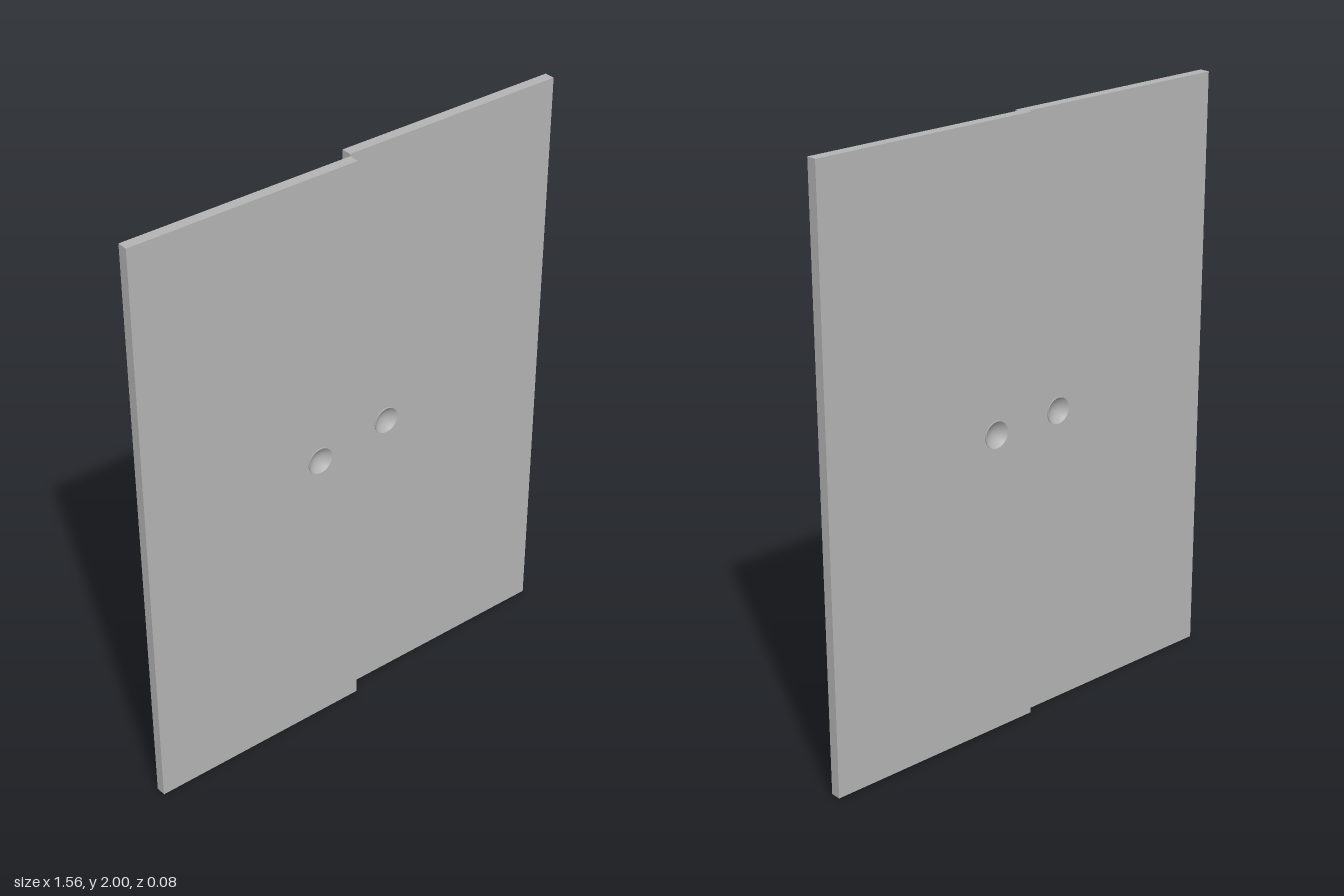
import * as THREE from 'three';

const T = 0.035; // panel thickness

// Door leaf with a round through-hole for its finger pulls
function makePanel(x0, x1, y0, y1, hx, hy, r, material) {
  const shape = new THREE.Shape();
  shape.moveTo(x0, y0);
  shape.lineTo(x1, y0);
  shape.lineTo(x1, y1);
  shape.lineTo(x0, y1);
  shape.closePath();
  const hole = new THREE.Path();
  hole.absarc(hx, hy, r, 0, Math.PI * 2, true);
  shape.holes.push(hole);
  const geometry = new THREE.ExtrudeGeometry(shape, { depth: T, bevelEnabled: false, curveSegments: 24 });
  return new THREE.Mesh(geometry, material);
}

// Concave dish with a thin raised rim, opening towards +z
function makePull(r, material) {
  const points = [new THREE.Vector2(0, -0.0165)];
  for (let i = 1; i <= 8; i++) {
    const t = i / 8;
    points.push(new THREE.Vector2(r * 0.97 * t, -0.0165 + 0.0205 * t * t));
  }
  const dish = new THREE.LatheGeometry(points, 48).rotateX(Math.PI / 2);
  const rim = new THREE.CylinderGeometry(r, r, 0.006, 48, 1, true).rotateX(Math.PI / 2).translate(0, 0, 0.001);
  const lip = new THREE.RingGeometry(r * 0.97, r, 48).translate(0, 0, 0.004);
  const pull = new THREE.Group();
  for (const [name, g] of [['pullDish', dish], ['pullRim', rim], ['pullLip', lip]]) {
    const mesh = new THREE.Mesh(g, material);
    mesh.name = name;
    pull.add(mesh);
  }
  return pull;
}

export function createModel() {
  const model = new THREE.Group();
  model.name = 'slidingDoors';
  const grey = new THREE.MeshStandardMaterial({ color: 0xb2b2b2, side: THREE.DoubleSide });
  grey.name = 'plain grey';
  const r = 0.045;

  // Two leaves, one sliding in front of the other
  const leaves = [
    { name: 'rightDoor', x0: -0.78, x1: 0, y0: 0, y1: 1.993, z: 0, hx: -0.144, hy: 1.018 },
    { name: 'leftDoor', x0: 0, x1: 0.78, y0: 0.01, y1: 2, z: -T, hx: 0.142, hy: 1.025 },
  ];
  for (const d of leaves) {
    const door = new THREE.Group();
    door.name = d.name;
    door.position.z = d.z;
    const panel = makePanel(d.x0, d.x1, d.y0, d.y1, d.hx, d.hy, r * 0.985, grey);
    panel.name = 'panel';
    door.add(panel);

    // Finger pulls on both faces
    for (const back of [false, true]) {
      const pull = makePull(r, grey);
      pull.name = back ? 'backPull' : 'frontPull';
      pull.position.set(d.hx, d.hy, back ? 0 : T);
      if (back) pull.rotation.y = Math.PI;
      door.add(pull);
    }
    model.add(door);
  }
  return model;
}
